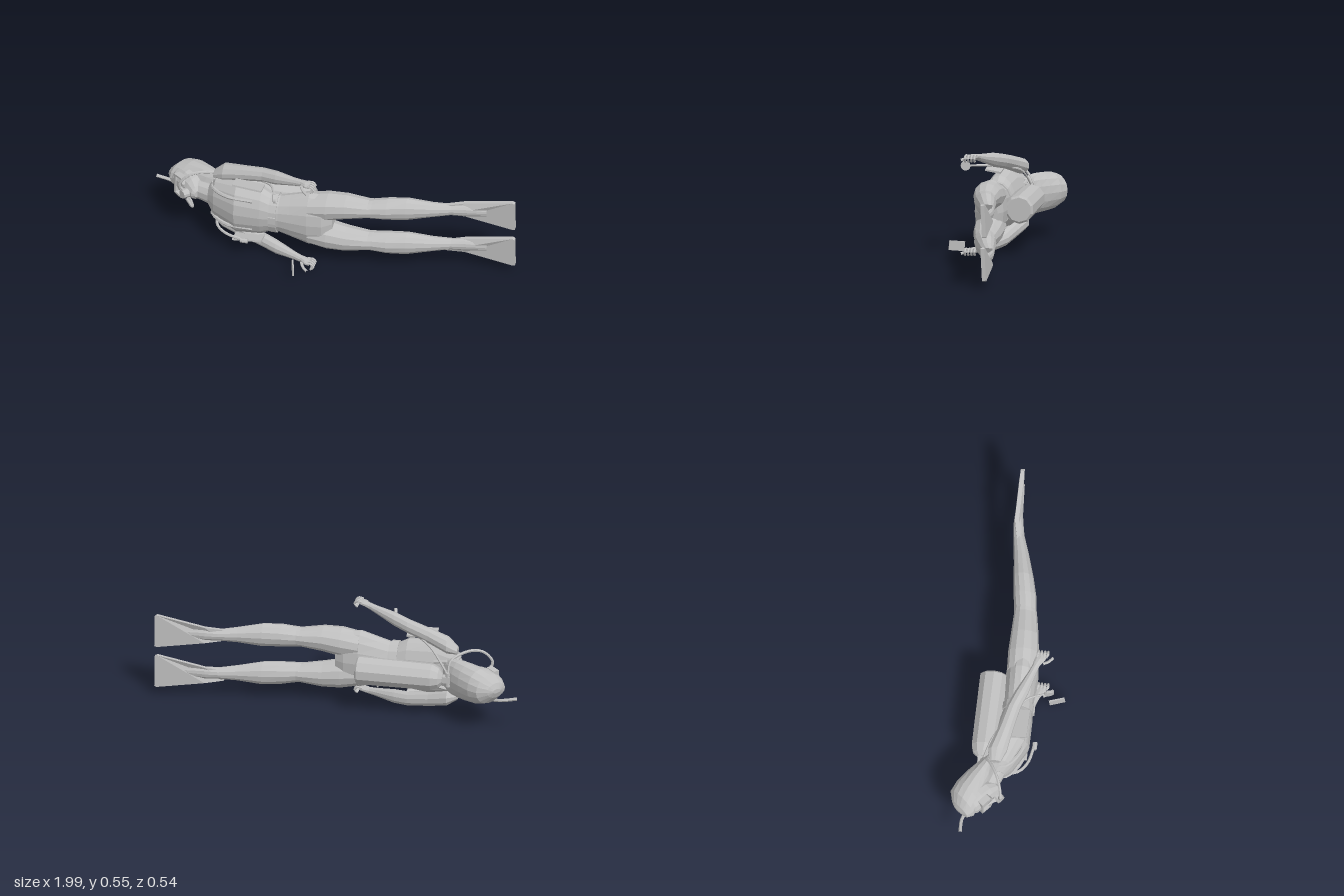
import * as THREE from 'three';

const V = (p) => new THREE.Vector3(...p);
const V2 = (p) => new THREE.Vector2(...p);

// Closed skin through elliptical rings [x, y, z, ry, rz] that follow the x axis.
function loft(rings, sides = 12) {
  const pos = [], idx = [], last = rings.length - 1;
  for (const [x, y, z, ry, rz] of rings) {
    for (let i = 0; i < sides; i++) {
      const a = (i / sides) * Math.PI * 2;
      pos.push(x, y + ry * Math.cos(a), z + rz * Math.sin(a));
    }
  }
  const c0 = pos.length / 3;
  pos.push(...rings[0].slice(0, 3), ...rings[last].slice(0, 3));
  for (let i = 0; i < sides; i++) {
    const n = (i + 1) % sides;
    for (let r = 0; r < last; r++) {
      const a = r * sides + i, b = r * sides + n;
      idx.push(a, b, a + sides, b, b + sides, a + sides);
    }
    idx.push(c0, n, i, c0 + 1, last * sides + i, last * sides + n);
  }
  const g = new THREE.BufferGeometry();
  g.setAttribute('position', new THREE.Float32BufferAttribute(pos, 3));
  g.setIndex(idx);
  g.computeVertexNormals();
  return g;
}

const tube = (points, radius, steps = 14) =>
  new THREE.TubeGeometry(new THREE.CatmullRomCurve3(points.map(V)), steps, radius, 6);

export function createModel() {
  const model = new THREE.Group();
  const grey = new THREE.MeshStandardMaterial({ color: 0xbfbfbf, flatShading: true });
  grey.name = 'plain grey';

  const add = (name, geometry, position = [0, 0, 0], rotation = [0, 0, 0], parent = model) => {
    const mesh = new THREE.Mesh(geometry, grey);
    mesh.name = name;
    mesh.position.set(...position);
    mesh.rotation.set(...rotation);
    parent.add(mesh);
  };
  const addToHead = (name, geometry, position, rotation) => add(name, geometry, position, rotation, head);
  const box = (x, y, z) => new THREE.BoxGeometry(x, y, z);

  // Torso, belt and neck
  add('torso', loft([
    [-0.67, 0.25, -0.04, 0.06, 0.045], [-0.63, 0.25, -0.025, 0.125, 0.07],
    [-0.5, 0.25, 0.02, 0.157, 0.096], [-0.36, 0.25, 0.027, 0.142, 0.088],
    [-0.31, 0.25, 0.03, 0.114, 0.08], [-0.26, 0.25, 0.03, 0.112, 0.078],
    [-0.2, 0.25, 0.03, 0.13, 0.082], [-0.1, 0.25, 0.03, 0.162, 0.088],
    [-0.02, 0.25, 0.028, 0.157, 0.078], [0.03, 0.25, 0.02, 0.1, 0.045],
  ], 16));
  add('belt', loft([[-0.31, 0.25, 0.03, 0.12, 0.086], [-0.27, 0.25, 0.03, 0.119, 0.086]], 16));
  add('buckle', box(0.04, 0.04, 0.01), [-0.29, 0.25, 0.115]);
  add('neck', loft([[-0.76, 0.25, -0.08, 0.05, 0.05], [-0.63, 0.25, -0.035, 0.062, 0.055]], 10));

  // Head, tipped back so that the face looks ahead
  const head = new THREE.Group();
  head.name = 'head';
  head.position.set(-0.77, 0.25, -0.13);
  head.rotation.y = -0.7;
  model.add(head);
  addToHead('hair', loft([
    [-0.154, 0, 0.01, 0.012, 0.025], [-0.142, 0, 0.015, 0.042, 0.06], [-0.107, 0, -0.002, 0.082, 0.092],
    [-0.05, 0, -0.02, 0.1, 0.09], [0.03, 0, -0.039, 0.107, 0.074],
    [0.09, 0, -0.05, 0.109, 0.06], [0.14, 0, -0.063, 0.104, 0.04], [0.18, 0, -0.072, 0.09, 0.022],
  ], 16));
  addToHead('face', loft([
    [-0.12, 0, 0.02, 0.05, 0.05], [-0.08, 0, 0.022, 0.072, 0.07], [-0.02, 0, 0.02, 0.08, 0.073],
    [0.04, 0, 0.025, 0.068, 0.068], [0.085, 0, 0.045, 0.042, 0.045], [0.1, 0, 0.055, 0.02, 0.022],
  ], 14));
  addToHead('nose', new THREE.ConeGeometry(0.018, 0.055, 4), [0.005, 0, 0.098], [0, 0, Math.PI / 2]);

  // Diving mask and mouthpiece
  const rim = new THREE.Shape([[-0.055, -0.06], [0.005, -0.065], [0.022, -0.03], [0.012, 0],
    [0.022, 0.03], [0.005, 0.065], [-0.055, 0.06]].map(V2));
  rim.holes.push(new THREE.Path([[-0.045, -0.05], [0, -0.054], [0.01, -0.028], [0.002, 0],
    [0.01, 0.028], [0, 0.054], [-0.045, 0.05]].map(V2)));
  addToHead('maskFrame', new THREE.ExtrudeGeometry(rim, { depth: 0.035, bevelEnabled: false }), [0, 0, 0.065]);
  addToHead('regulator', new THREE.CylinderGeometry(0.024, 0.026, 0.035, 10),
    [0.055, 0, 0.11], [Math.PI / 2, 0, 0]);

  // Air tank and valve
  add('tank', loft([
    [-0.58, 0.25, -0.13, 0.025, 0.025], [-0.56, 0.25, -0.125, 0.055, 0.055],
    [-0.52, 0.25, -0.12, 0.073, 0.073], [-0.12, 0.25, -0.118, 0.077, 0.077],
    [-0.11, 0.25, -0.118, 0.066, 0.066],
  ], 10));
  add('valve', box(0.05, 0.035, 0.035), [-0.6, 0.25, -0.132]);
  add('valveKnob', new THREE.CylinderGeometry(0.014, 0.014, 0.08, 8), [-0.61, 0.25, -0.135]);

  // Hoses, snorkel and instruments
  add('airHose', tube([[-0.61, 0.28, -0.13], [-0.62, 0.345, -0.1], [-0.71, 0.385, -0.04],
    [-0.78, 0.37, -0.01], [-0.825, 0.31, 0], [-0.8, 0.265, -0.01]], 0.008, 20));
  add('snorkel', tube([[-1, 0.202, -0.195], [-0.91, 0.183, -0.193], [-0.84, 0.165, -0.15],
    [-0.78, 0.15, -0.08], [-0.76, 0.165, -0.02], [-0.79, 0.225, -0.01]], 0.009, 20));
  add('spareHose', tube([[-0.61, 0.22, -0.13], [-0.62, 0.14, -0.06], [-0.6, 0.13, 0.06],
    [-0.54, 0.12, 0.11], [-0.43, 0.11, 0.135]], 0.008, 18));
  add('spareMouthpiece', new THREE.CylinderGeometry(0.013, 0.013, 0.04, 8),
    [-0.435, 0.11, 0.137], [0, 0, Math.PI / 2]);
  add('gaugeHose', tube([[-0.6, 0.28, -0.12], [-0.5, 0.4, -0.07], [-0.38, 0.435, 0.02],
    [-0.3, 0.455, 0.08], [-0.26, 0.457, 0.175]], 0.006, 18));
  add('gauge', new THREE.CylinderGeometry(0.026, 0.026, 0.014, 12),
    [-0.255, 0.457, 0.193], [0, 0.3, Math.PI / 2]);
  add('slate', box(0.008, 0.052, 0.085), [-0.145, 0.043, 0.222], [-0.1, 0.3, 0]);

  const legRings = [
    [-0.1, 0.08, 0.028, 0.07, 0.08], [0, 0.092, 0.025, 0.08, 0.082], [0.1, 0.104, 0.02, 0.07, 0.074],
    [0.22, 0.105, 0.01, 0.051, 0.061], [0.24, 0.105, 0.008, 0.053, 0.058], [0.32, 0.11, -0.005, 0.061, 0.06],
    [0.42, 0.112, -0.025, 0.064, 0.054], [0.55, 0.112, -0.052, 0.042, 0.04],
    [0.65, 0.112, -0.078, 0.031, 0.03], [0.72, 0.112, -0.088, 0.035, 0.026],
    [0.84, 0.112, -0.096, 0.024, 0.014],
  ];
  // Arm rings hold x, upper y, lower y, z and the two radii
  const armRings = [
    [-0.645, 0.385, 0.12, -0.05, 0.02, 0.03], [-0.59, 0.41, 0.105, -0.045, 0.045, 0.053],
    [-0.48, 0.442, 0.072, -0.015, 0.041, 0.042], [-0.36, 0.472, 0.046, 0.015, 0.038, 0.038],
    [-0.28, 0.49, 0.037, 0.048, 0.037, 0.037], [-0.17, 0.515, 0.03, 0.092, 0.022, 0.022],
    [-0.13, 0.525, 0.028, 0.108, 0.018, 0.02], [-0.1, 0.532, 0.029, 0.124, 0.015, 0.03],
    [-0.075, 0.534, 0.03, 0.132, 0.012, 0.03],
  ];
  const finOutline = new THREE.Shape([[0.62, -0.03], [0.72, -0.044], [0.98, -0.09], [0.992, -0.085],
    [0.992, 0.085], [0.98, 0.091], [0.72, 0.044], [0.62, 0.03]].map(V2));

  for (const s of [1, -1]) {
    const side = s > 0 ? 'upper' : 'lower';

    // Leg and swim fin, which bends to follow the ankle
    add(side + 'Leg', loft(legRings.map(([x, y, z, ry, rz]) => [x, 0.249 + s * y, z, ry, rz])));
    const fin = new THREE.ExtrudeGeometry(finOutline, { depth: 0.022, bevelEnabled: false });
    const p = fin.attributes.position;
    for (let i = 0; i < p.count; i++) {
      p.setZ(i, p.getZ(i) - 0.011 + Math.max(0, 0.73 - p.getX(i)) * 0.25);
    }
    add(side + 'Fin', fin, [0, 0.246 + s * 0.117, -0.102], [0.05, 0, 0]);

    // Arm with curled fingers
    add(side + 'Arm', loft(armRings.map(([x, up, low, z, ry, rz]) => [x, s > 0 ? up : low, z, ry, rz]), 10));
    const hand = new THREE.Group();
    hand.name = side + 'Hand';
    hand.position.set(-0.08, s > 0 ? 0.534 : 0.031, 0.132);
    model.add(hand);
    for (let i = 0; i < 4; i++) {
      const z = -0.025 + i * 0.017;
      add('finger', tube([[-0.01, 0.005, z], [0.02, 0.008, z + 0.004], [0.033, -0.01, z + 0.006],
        [0.015, -0.024, z + 0.006]], 0.0065, 6), [0, 0, 0], [0, 0, 0], hand);
    }
    add('thumb', tube([[-0.04, -0.005, 0.01], [-0.02, -0.015, 0.04], [0.005, -0.02, 0.06]], 0.008, 5),
      [0, 0, 0], [0, 0, 0], hand);

    // Harness strap over the shoulder and loose vest flap
    add('shoulderStrap', tube([[-0.52, 0.25 + s * 0.07, -0.08], [-0.63, 0.25 + s * 0.085, -0.075],
      [-0.645, 0.25 + s * 0.085, 0], [-0.55, 0.25 + s * 0.09, 0.08],
      [-0.4, 0.25 + s * 0.09, 0.092]], 0.01));
    add('vestFlap', box(0.16, 0.01, 0.085), [-0.43, 0.25 + s * 0.17, 0.06], [-0.17, 0, -0.08 * s]);
  }

  return model;
}
